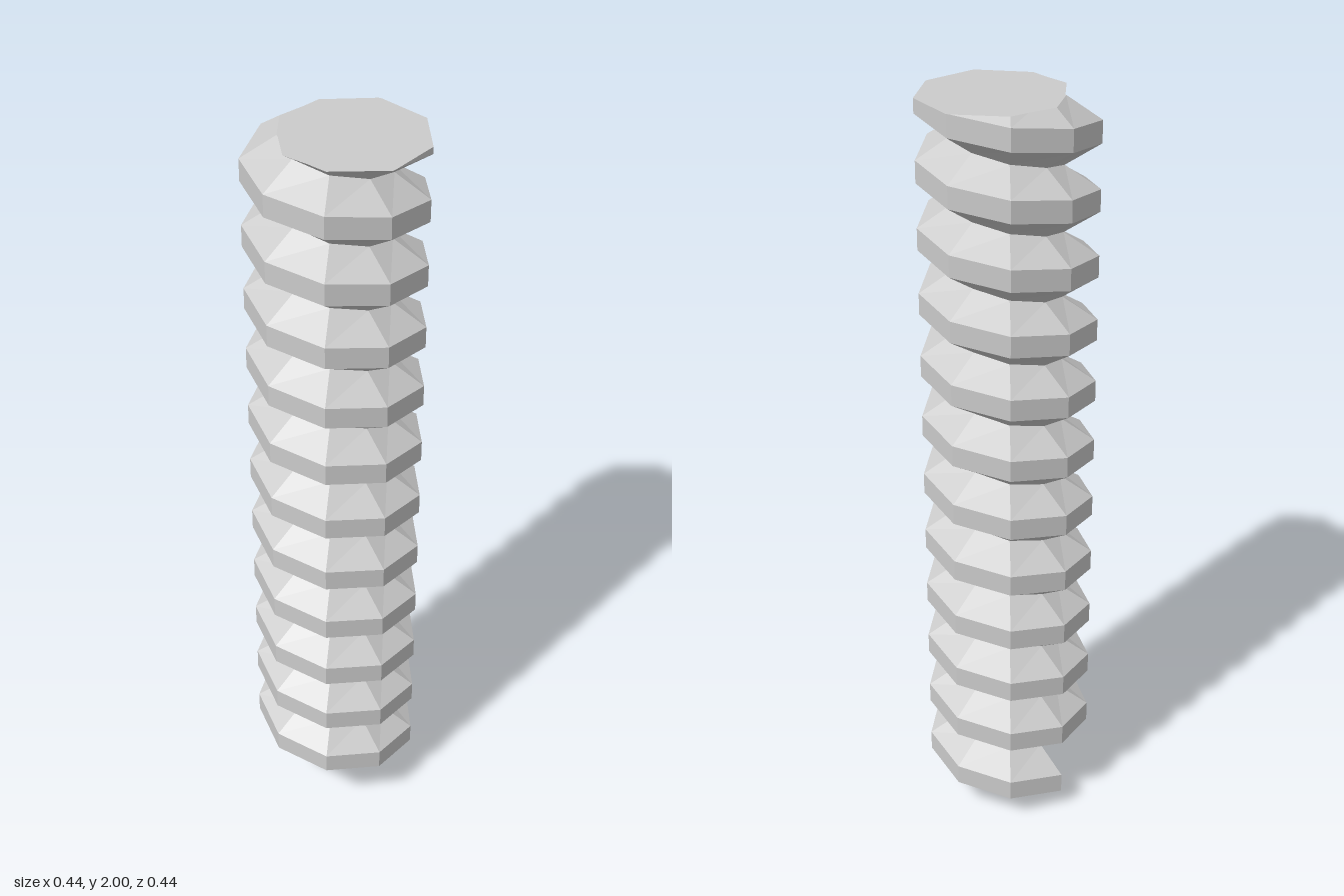
import * as THREE from 'three';

const SIDES = 9, TURNS = 12, PITCH = 0.1683, TOP = 2;
const ROOT = 0.136, CREST = 0.2243, CENTRE_X = 0.006;

// Thread profile over one pitch: root, lower crest, upper crest, root
const PROFILE = [[ROOT, 0], [CREST, PITCH / 3], [CREST, PITCH * 2 / 3], [ROOT, PITCH]];

// Point of the helical sweep at column i, profile row j
function threadPoint(i, j) {
  const a = (i / SIDES) * Math.PI * 2;
  const [r, y] = PROFILE[j];
  return new THREE.Vector3(CENTRE_X - r * Math.cos(a), y + (i / SIDES) * PITCH, -r * Math.sin(a));
}

// Cut a triangle at the flat top; returns the kept polygon and the points on the cut
function clipTop(tri) {
  const kept = [], cut = [];
  tri.forEach((p, n) => {
    const q = tri[(n + 1) % 3];
    if (p.y <= TOP) kept.push(p);
    if ((p.y <= TOP) !== (q.y <= TOP)) {
      const s = p.clone().lerp(q, (TOP - p.y) / (q.y - p.y));
      kept.push(s);
      cut.push(s);
    }
  });
  return { kept, cut };
}

function meshFrom(name, points) {
  const geometry = new THREE.BufferGeometry().setFromPoints(points);
  geometry.computeVertexNormals();
  const material = new THREE.MeshStandardMaterial({
    color: 0xcccccc, flatShading: true, side: THREE.DoubleSide,
  });
  const mesh = new THREE.Mesh(geometry, material);
  mesh.name = name;
  return mesh;
}

export function createModel() {
  const thread = [], cap = [];
  const centre = new THREE.Vector3(CENTRE_X, TOP, 0);

  for (let i = 0; i < SIDES * TURNS; i++) {
    for (let j = 0; j < 3; j++) {
      const a = threadPoint(i, j), b = threadPoint(i + 1, j);
      const c = threadPoint(i + 1, j + 1), d = threadPoint(i, j + 1);
      for (const tri of [[b, a, d], [b, d, c]]) {
        const { kept, cut } = clipTop(tri);
        for (let n = 1; n + 1 < kept.length; n++) thread.push(kept[0], kept[n], kept[n + 1]);
        // Fan each cut edge to the axis, facing up
        if (cut.length === 2) {
          const [p, q] = cut;
          const up = (p.z - centre.z) * (q.x - centre.x) - (p.x - centre.x) * (q.z - centre.z) > 0;
          cap.push(centre, up ? p : q, up ? q : p);
        }
      }
    }
  }

  const group = new THREE.Group();
  group.name = 'screwThread';
  group.add(meshFrom('helicalThread', thread), meshFrom('flatTop', cap));
  return group;
}
